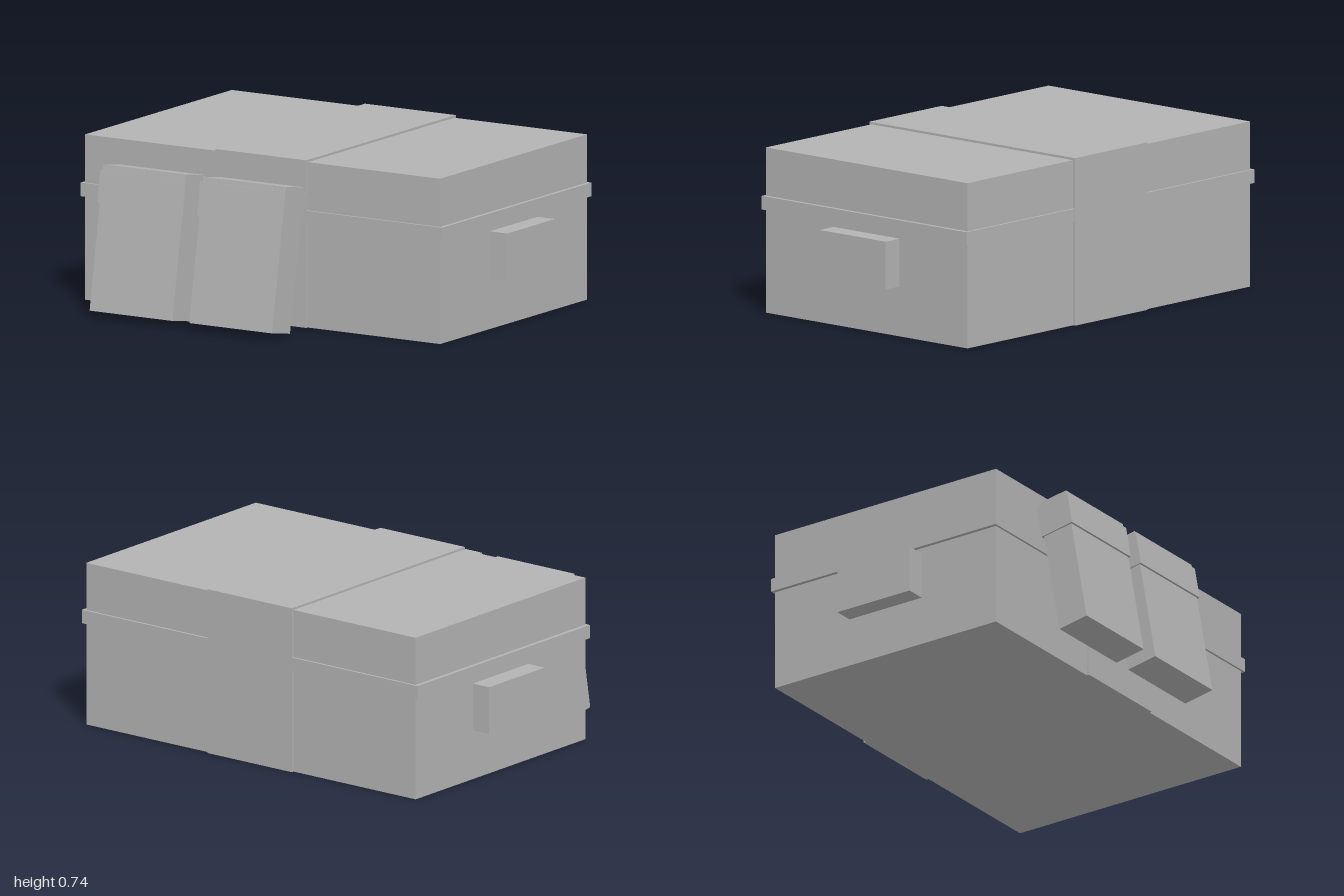
import * as THREE from 'three';

export function createModel() {
  const model = new THREE.Group();
  model.name = 'storageCase';
  const grey = new THREE.MeshStandardMaterial({ name: 'grey', color: 0xb3b3b3 });

  const box = (parent, name, size, position) => {
    const mesh = new THREE.Mesh(new THREE.BoxGeometry(...size), grey);
    mesh.name = name;
    mesh.position.set(...position);
    parent.add(mesh);
  };

  // Case with its rim band and the wide centre strap
  const caseZ = -0.153;
  box(model, 'caseBody', [1.82, 0.727, 1.17], [0, 0.3635, caseZ]);
  box(model, 'rimBand', [1.854, 0.06, 1.19], [0, 0.485, caseZ]);
  box(model, 'centreStrap', [0.466, 0.737, 1.194], [-0.002, 0.3685, caseZ]);

  // Side handles
  for (const side of [-1, 1]) {
    box(model, side > 0 ? 'leftHandle' : 'rightHandle', [0.1, 0.21, 0.382], [side * 0.95, 0.325, -0.153]);
  }

  // Two pouches leaning back towards the case
  for (const [name, x] of [['rightPouch', -0.471], ['leftPouch', 0.04]]) {
    const pouch = new THREE.Group();
    pouch.name = name;
    pouch.position.set(x, 0.0165, 0.678);
    pouch.rotation.x = THREE.MathUtils.degToRad(-10);
    box(pouch, 'pouchBody', [0.424, 0.635, 0.146], [0, 0.3175, 0]);
    box(pouch, 'pouchFlap', [0.438, 0.147, 0.164], [0, 0.541, 0]);
    model.add(pouch);
  }

  return model;
}
